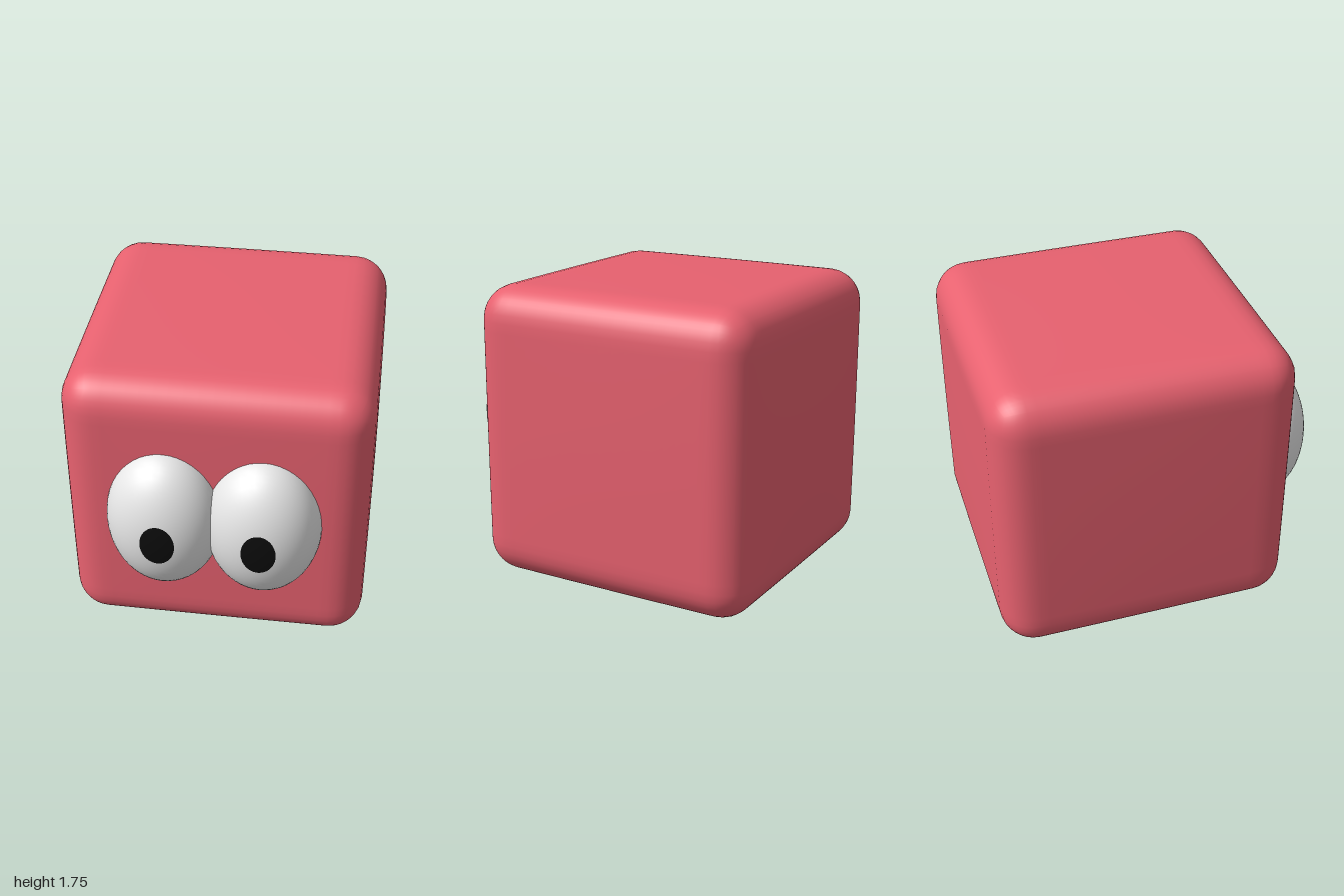
import * as THREE from 'three';
import { mergeVertices } from 'three/addons/utils/BufferGeometryUtils.js';

const red = new THREE.MeshStandardMaterial({ color: 0xe7616f });
red.name = 'red';
const white = new THREE.MeshStandardMaterial({ color: 0xe7e7e7 });
white.name = 'white';
const black = new THREE.MeshStandardMaterial({ color: 0x0c0c0c });
black.name = 'black';

// Rounded cube whose faces swell slightly towards their middles
function softCube(half, radius, bulge) {
  const geo = new THREE.BoxGeometry(2, 2, 2, 32, 32, 32);
  geo.deleteAttribute('normal');
  geo.deleteAttribute('uv');
  const pos = geo.attributes.position;
  const p = new THREE.Vector3();
  const inner = new THREE.Vector3();
  const limit = half - radius;
  const swell = (a, b) => 1 + bulge * (1 - (a / half) ** 2) * (1 - (b / half) ** 2);
  for (let i = 0; i < pos.count; i++) {
    p.fromBufferAttribute(pos, i);
    // crowd the grid lines towards the rounded edges
    p.set(...p.toArray().map((t) => half * Math.sin(t * Math.PI / 2)));
    inner.copy(p).clampScalar(-limit, limit);
    p.sub(inner).setLength(radius).add(inner);
    pos.setXYZ(i, p.x * swell(p.y, p.z), p.y * swell(p.x, p.z), p.z * swell(p.x, p.y));
  }
  const merged = mergeVertices(geo, 1e-5);
  merged.computeVertexNormals();
  return merged;
}

// Band of a unit sphere around the +z pole, between two polar angles
function sphereBand(from, to, rings) {
  return new THREE.SphereGeometry(1, 48, rings, 0, Math.PI * 2, from, to - from).rotateX(Math.PI / 2);
}

function part(name, geometry, material) {
  const mesh = new THREE.Mesh(geometry, material);
  mesh.name = name;
  return mesh;
}

export function createModel() {
  const model = new THREE.Group();
  model.name = 'cubeCreature';

  const body = part('body', softCube(0.863, 0.2, 0.012), red);
  body.position.set(0, 0.875, -0.127);
  model.add(body);

  // Eyes: flattened ovals, with the pupil as the front cap
  const pupilAngle = 0.297;
  for (const side of [-1, 1]) {
    const eye = new THREE.Group();
    eye.name = side > 0 ? 'leftEye' : 'rightEye';
    eye.add(part('eyeball', sphereBand(pupilAngle, Math.PI, 28), white));
    eye.add(part('pupil', sphereBand(0, pupilAngle, 6), black));
    eye.scale.set(0.33, 0.448, 0.28);
    eye.position.set(side * 0.28, 0.883, 0.72);
    model.add(eye);
  }
  return model;
}
